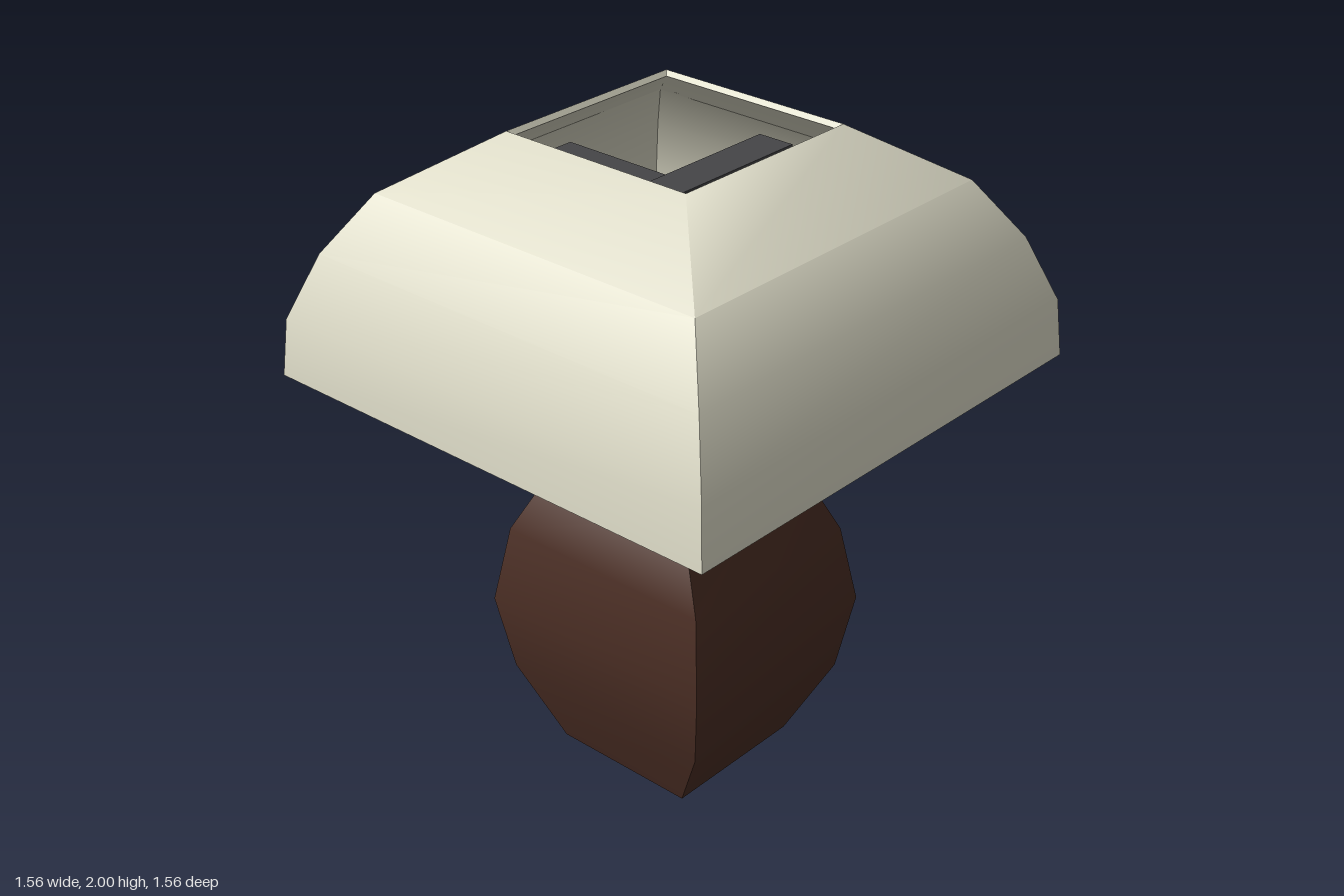
import * as THREE from 'three';
import { toCreasedNormals } from 'three/addons/utils/BufferGeometryUtils.js';

// Lofts rectangular sections [halfX, halfZ, y]; either capped or closed into a hollow shell.
function loftRects(sections, capped) {
  const corners = [[1, 1], [1, -1], [-1, -1], [-1, 1]];
  const positions = [];
  const index = [];
  for (const [hx, hz, y] of sections) {
    for (const [sx, sz] of corners) positions.push(hx * sx, y, hz * sz);
  }
  const n = sections.length;
  const bands = capped ? n - 1 : n;
  for (let i = 0; i < bands; i++) {
    const low = i * 4;
    const up = ((i + 1) % n) * 4;
    for (let j = 0; j < 4; j++) {
      const k = (j + 1) % 4;
      index.push(low + j, low + k, up + k, low + j, up + k, up + j);
    }
  }
  if (capped) {
    const t = (n - 1) * 4;
    index.push(0, 2, 1, 0, 3, 2, t, t + 1, t + 2, t, t + 2, t + 3);
  }
  const geometry = new THREE.BufferGeometry();
  geometry.setAttribute('position', new THREE.Float32BufferAttribute(positions, 3));
  geometry.setIndex(index);
  return toCreasedNormals(geometry, Math.PI / 3);
}

export function createModel() {
  const model = new THREE.Group();
  model.name = 'tableLamp';

  const material = (name, color) => {
    const m = new THREE.MeshStandardMaterial({ color });
    m.name = name;
    return m;
  };
  const cream = material('cream shade', 0xdedcc8);
  const brown = material('dark brown', 0x4b2e24);
  const metal = material('dark grey metal', 0x454547);

  const add = (name, geometry, mat, y = 0) => {
    const mesh = new THREE.Mesh(geometry, mat);
    mesh.name = name;
    mesh.position.y = y;
    model.add(mesh);
  };

  // Bulging base with a ridged top
  add('base', loftRects([
    [0.24, 0.24, 0], [0.365, 0.325, 0.25], [0.405, 0.365, 0.495],
    [0.365, 0.325, 0.74], [0.24, 0.24, 0.98], [0.235, 0.075, 1.017],
  ], true), brown);

  // Hexagonal stem
  const stemBottom = 0.98, stemTop = 1.8;
  add('stem', new THREE.CylinderGeometry(0.065, 0.065, stemTop - stemBottom, 6),
    metal, (stemBottom + stemTop) / 2);

  // Crossed bars inside the shade
  add('wideCrossBar', new THREE.BoxGeometry(0.12, 0.12, 0.86), metal, 1.78);
  add('narrowCrossBar', new THREE.BoxGeometry(0.86, 0.07, 0.07), metal, 1.8);

  // Hollow square shade: outer wall going up, inner wall coming back down
  const outer = [[0.78, 1.285], [0.765, 1.46], [0.69, 1.655], [0.575, 1.83], [0.32, 2]];
  const inner = [[0.31, 1.985], [0.56, 1.815], [0.672, 1.645], [0.746, 1.455], [0.76, 1.285]];
  add('shade', loftRects([...outer, ...inner].map(([h, y]) => [h, h, y]), false), cream);

  return model;
}
